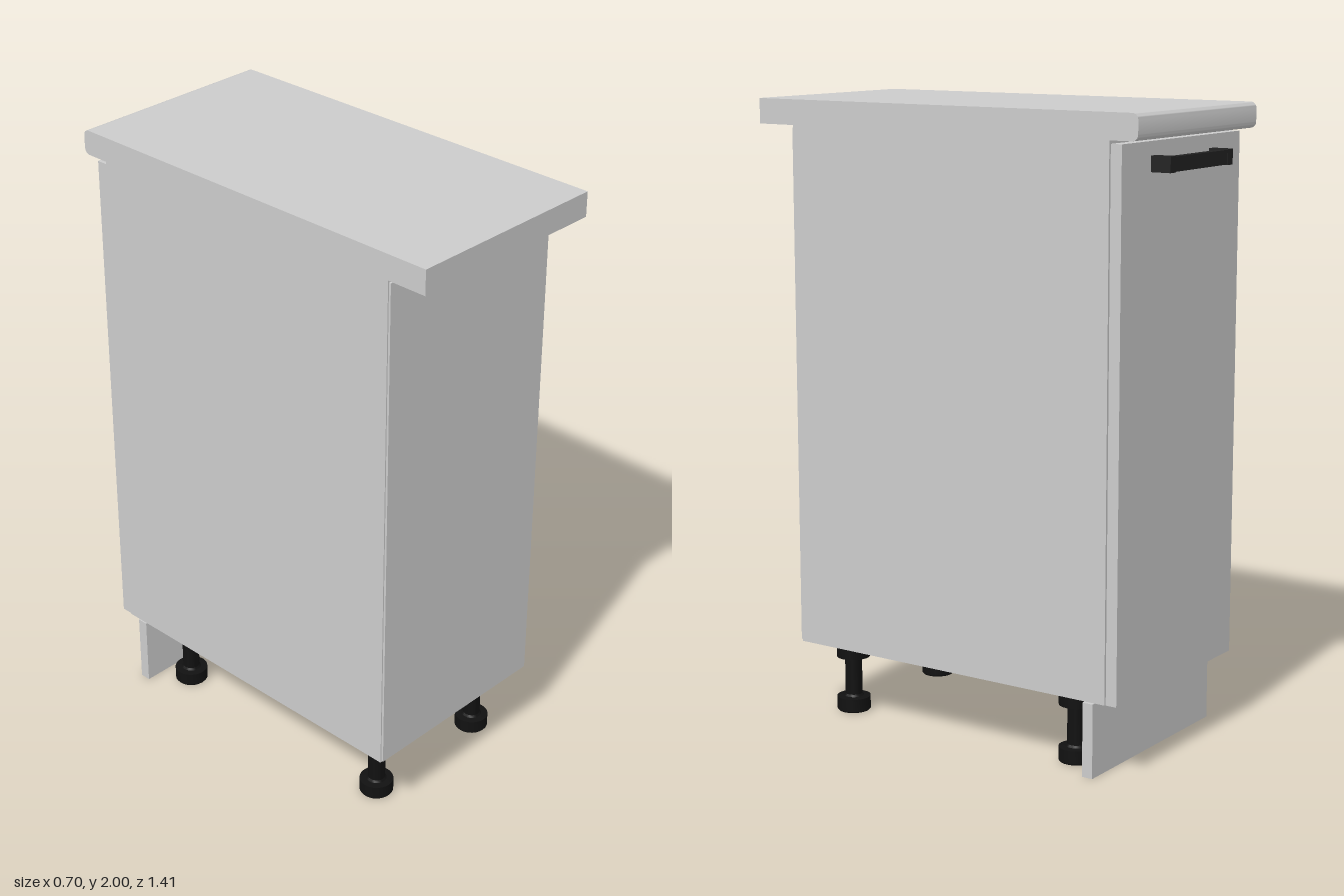
import * as THREE from 'three';
import { toCreasedNormals } from 'three/addons/utils/BufferGeometryUtils.js';

const grey = new THREE.MeshStandardMaterial({ color: 0xcccccc });
const black = new THREE.MeshStandardMaterial({ color: 0x111111 });
const charcoal = new THREE.MeshStandardMaterial({ color: 0x222222 });

export function createModel() {
  const model = new THREE.Group();
  model.name = 'baseCabinet';

  // Box given by its limits on each axis
  function panel(name, [x0, x1], [y0, y1], [z0, z1], material = grey, parent = model) {
    const mesh = new THREE.Mesh(new THREE.BoxGeometry(x1 - x0, y1 - y0, z1 - z0), material);
    mesh.position.set((x0 + x1) / 2, (y0 + y1) / 2, (z0 + z1) / 2);
    mesh.name = name;
    parent.add(mesh);
    return mesh;
  }

  // Carcass
  const W = 0.35, T = 0.037, inner = [-W + T, W - T];
  panel('leftSide', [W - T, W], [0.24, 1.92], [-0.597, 0.567]);
  panel('rightSide', [-W, -W + T], [0.24, 1.92], [-0.597, 0.567]);
  panel('bottomPanel', inner, [0.24, 0.277], [-0.597, 0.567]);
  panel('shelf', inner, [1.06, 1.097], [-0.55, 0.567]);
  panel('frontRail', inner, [1.883, 1.92], [-0.597, -0.4]);
  panel('backRail', inner, [1.883, 1.92], [0.37, 0.567]);
  panel('backPanel', [-W + 0.004, W - 0.004], [0.245, 1.912], [0.567, 0.574]);

  // Door and plinth
  panel('door', [-W + 0.003, W - 0.003], [0.24, 1.91], [-0.637, -0.6]);
  panel('plinth', [-W, W], [0, 0.235], [-0.556, -0.52]);

  // Worktop with rounded edge over the door, drawn as a z-y profile
  const r = 0.02, zf = -0.692, zb = 0.703, yb = 1.92, yt = 2;
  const profile = new THREE.Shape();
  profile.moveTo(zb, yb);
  profile.lineTo(zb, yt);
  profile.lineTo(zf + r, yt);
  profile.absarc(zf + r, yt - r, r, Math.PI / 2, Math.PI, false);
  profile.lineTo(zf, yb + r);
  profile.absarc(zf + r, yb + r, r, Math.PI, Math.PI * 1.5, false);
  const topGeometry = new THREE.ExtrudeGeometry(profile, { depth: 2 * W, bevelEnabled: false, curveSegments: 8 });
  topGeometry.rotateY(-Math.PI / 2).translate(W, 0, 0);
  const worktop = new THREE.Mesh(toCreasedNormals(topGeometry, 0.6), grey);
  worktop.name = 'worktop';
  model.add(worktop);

  // Handle: two posts and a bar
  const handle = new THREE.Group();
  handle.name = 'handle';
  model.add(handle);
  for (const s of [-1, 1]) {
    panel('handlePost', [s * 0.17 - 0.015, s * 0.17 + 0.015], [1.82, 1.868], [-0.703, -0.637], charcoal, handle);
  }
  panel('handleBar', [-0.155, 0.155], [1.822, 1.866], [-0.702, -0.677], charcoal, handle);

  // Adjustable legs
  const legProfile = [
    [0, 0], [0.052, 0], [0.055, 0.004], [0.055, 0.046], [0.033, 0.048], [0.028, 0.055],
    [0.028, 0.182], [0.055, 0.182], [0.055, 0.226], [0.07, 0.229], [0.07, 0.24], [0, 0.24],
  ].map(([x, y]) => new THREE.Vector2(x, y));
  const legGeometry = toCreasedNormals(new THREE.LatheGeometry(legProfile, 24), 0.6);
  for (const x of [-0.235, 0.235]) {
    for (const z of [-0.425, 0.447]) {
      const leg = new THREE.Mesh(legGeometry, black);
      leg.position.set(x, 0, z);
      leg.name = 'leg';
      model.add(leg);
    }
  }
  return model;
}
